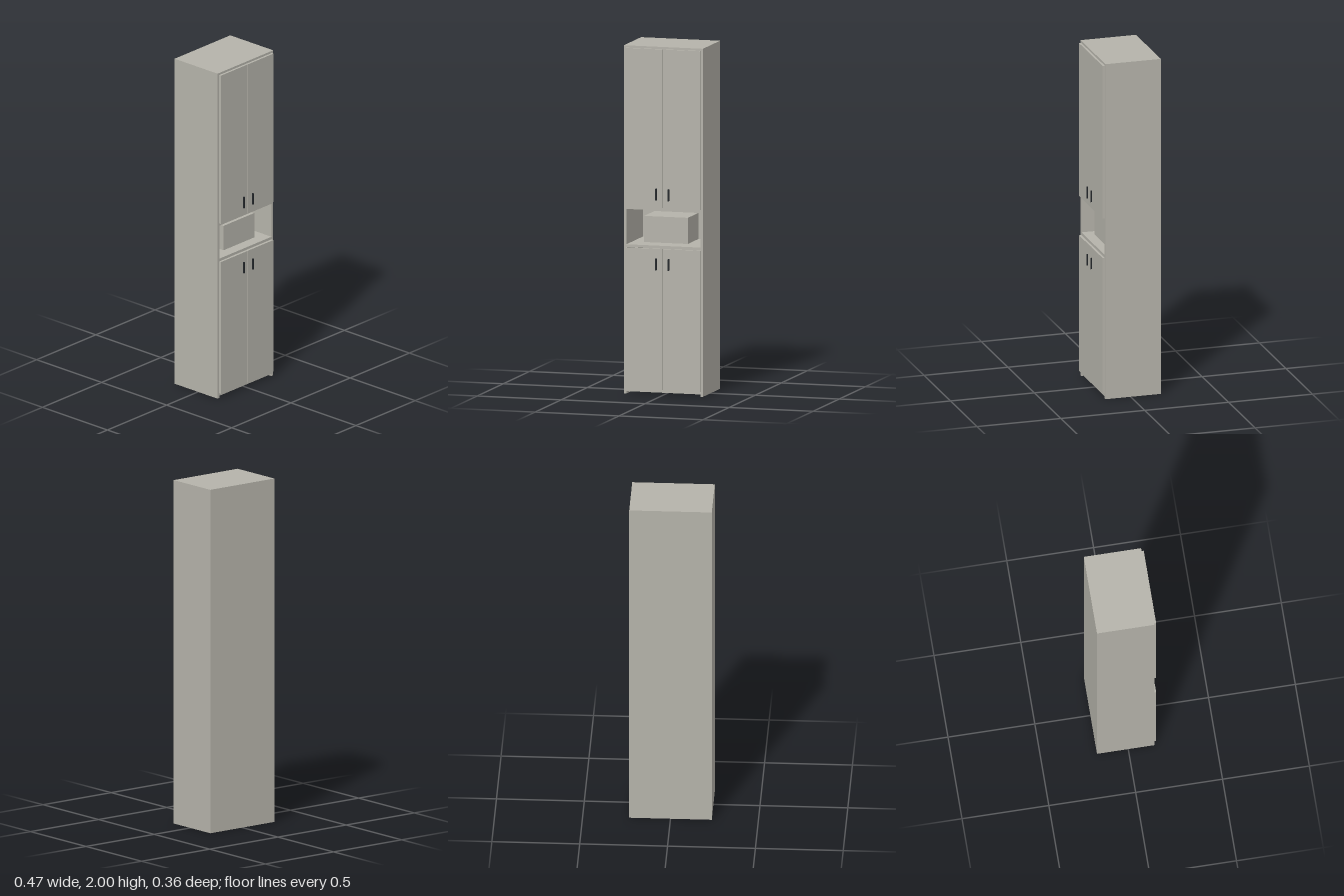
import * as THREE from 'three';

export function createModel() {
  const group = new THREE.Group();
  const panel = new THREE.MeshStandardMaterial({ name: 'warm grey panel', color: 0xb5b3aa });
  const metal = new THREE.MeshStandardMaterial({ name: 'dark handle', color: 0x22262a });

  // Box given by its extents on each axis
  const block = (name, [x0, x1], [y0, y1], [z0, z1], material = panel) => {
    const mesh = new THREE.Mesh(new THREE.BoxGeometry(x1 - x0, y1 - y0, z1 - z0), material);
    mesh.position.set((x0 + x1) / 2, (y0 + y1) / 2, (z0 + z1) / 2);
    mesh.name = name;
    group.add(mesh);
  };

  const W = 0.235, T = 0.015, back = -0.18, front = 0.15;
  const inner = [-W + T, W - T];
  const depth = [back + 0.01, front];

  // Carcass: sides and back reach the floor, the bottom board sits slightly higher
  block('leftSide', [W - T, W], [0, 2], [back, front]);
  block('rightSide', [-W, -W + T], [0, 2], [back, front]);
  block('backPanel', inner, [0, 2], [back, back + 0.01]);
  block('topPanel', inner, [1.985, 2], depth);
  block('bottomPanel', inner, [0.013, 0.028], depth);

  // Shelves that frame the open niche
  block('nicheFloor', inner, [0.842, 0.857], depth);
  block('nicheCeiling', inner, [1.06, 1.075], depth);

  // Storage box in the niche
  block('nicheBox', [-0.13, 0.13], [0.867, 1.017], [-0.1, 0.1]);

  // Two pairs of doors with bar handles
  const tiers = [
    { name: 'lower', door: [0.03, 0.84], handle: [0.719, 0.785] },
    { name: 'upper', door: [1.075, 1.987], handle: [1.119, 1.187] },
  ];
  for (const { name, door, handle } of tiers) {
    for (const s of [-1, 1]) {
      const side = s > 0 ? 'Left' : 'Right';
      const span = (a, b) => (s > 0 ? [a, b] : [-b, -a]);
      block(`${name}${side}Door`, span(0.002, 0.222), door, [front, 0.163]);
      block(`${name}${side}Handle`, span(0.033, 0.041), handle, [0.169, 0.177], metal);
    }
  }
  return group;
}
